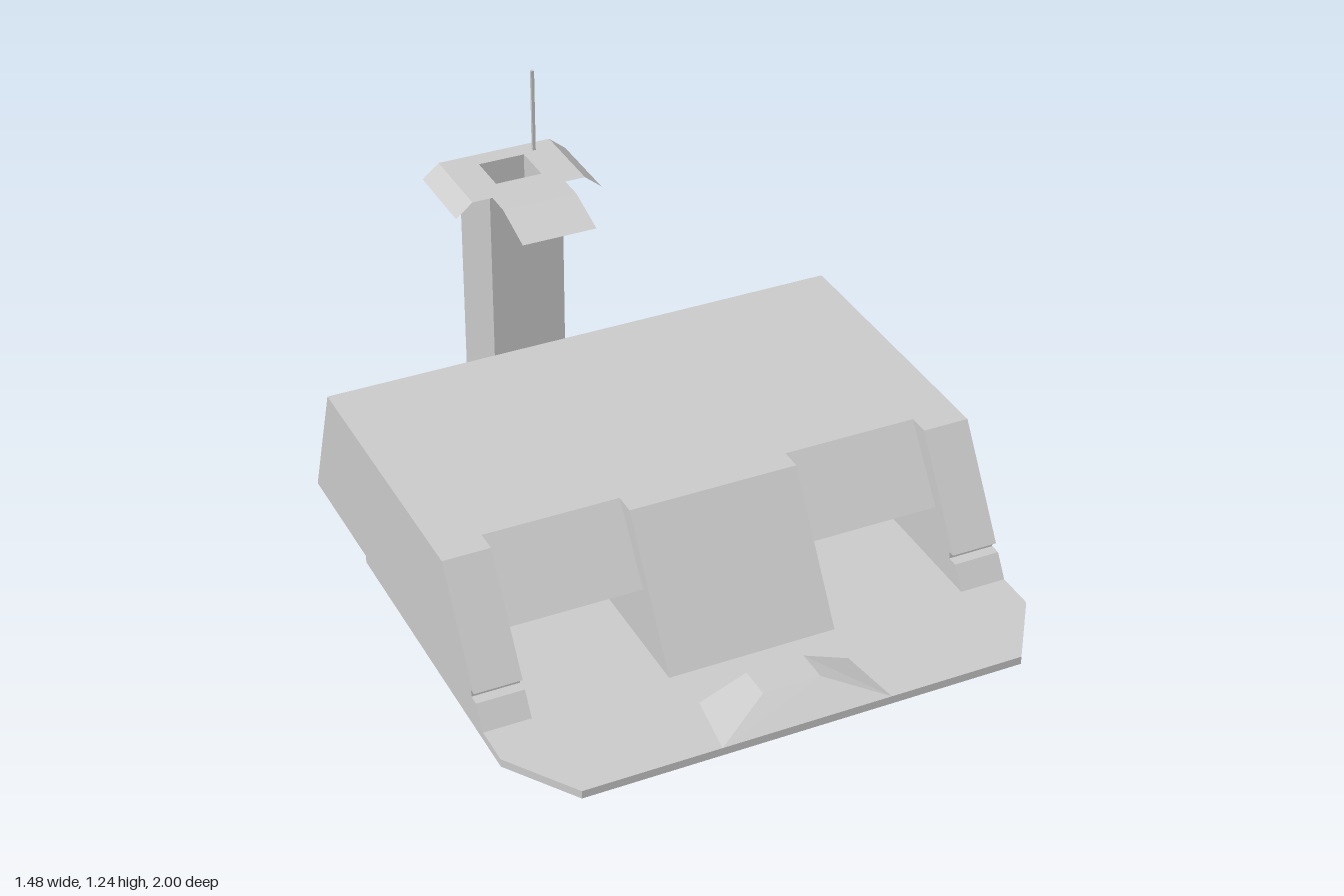
import * as THREE from 'three';
import { ConvexGeometry } from 'three/addons/geometries/ConvexGeometry.js';

const solid = new THREE.MeshStandardMaterial({ color: 0xcccccc, flatShading: true });
const sheet = new THREE.MeshStandardMaterial({ color: 0xcccccc, flatShading: true, side: THREE.DoubleSide });

const vectors = (pts) => pts.map(([a, b]) => new THREE.Vector2(a, b));
const rect = (x0, x1, z0, z1) => [[x0, z0], [x1, z0], [x1, z1], [x0, z1]];

// plan outline of [x, z] points with optional holes
function outline(pts, holes = []) {
  const shape = new THREE.Shape(vectors(pts));
  shape.holes = holes.map((h) => new THREE.Path(vectors(h)));
  return shape;
}

export function createModel() {
  const model = new THREE.Group();
  const add = (name, geo, mat = solid) => {
    const mesh = new THREE.Mesh(geo, mat);
    mesh.name = name;
    model.add(mesh);
  };

  // side profile of [z, y] points, swept from x0 to x1
  const across = (name, pts, x0, x1) => {
    const shape = new THREE.Shape(vectors(pts.map(([z, y]) => [-z, y])));
    const geo = new THREE.ExtrudeGeometry(shape, { depth: x1 - x0, bevelEnabled: false });
    add(name, geo.rotateY(Math.PI / 2).translate(x0, 0, 0));
  };
  // plan outline raised from y0 to y1
  const plan = (name, pts, y0, y1, holes) => {
    const geo = new THREE.ExtrudeGeometry(outline(pts, holes), { depth: y1 - y0, bevelEnabled: false });
    add(name, geo.rotateX(Math.PI / 2).translate(0, y1, 0));
  };
  // thin flat sheet at height y
  const flat = (name, pts, y, holes) => {
    const geo = new THREE.ShapeGeometry(outline(pts, holes));
    add(name, geo.rotateX(Math.PI / 2).translate(0, y, 0), sheet);
  };
  const box = (name, x0, x1, y0, y1, z0, z1) => {
    const geo = new THREE.BoxGeometry(x1 - x0, y1 - y0, z1 - z0);
    add(name, geo.translate((x0 + x1) / 2, (y0 + y1) / 2, (z0 + z1) / 2));
  };
  // thin four-cornered panel
  const panel = (name, a, b, c, d) => {
    const geo = new THREE.BufferGeometry();
    geo.setAttribute('position', new THREE.Float32BufferAttribute([a, b, c, a, c, d].flat(), 3));
    geo.computeVertexNormals();
    add(name, geo, sheet);
  };

  // floor plate with clipped front corners
  plan('floorPlate', [[-0.74, -0.11], [0.74, -0.11], [0.74, 0.81], [0.61, 1], [-0.61, 1], [-0.74, 0.81]], 0.335, 0.358);

  // hull centre and raised nose
  const rear = [[-0.345, 0.722], [-0.485, 0.355]];
  across('hullCentre', [[0.7, 0.357], [0.465, 0.722], ...rear], -0.235, 0.235);
  const noseHalf = [[0.235, 0.358, 1], [0.21, 0.358, 0.82], [0.08, 0.41, 0.91], [0.08, 0.41, 0.82]];
  add('nose', new ConvexGeometry([-1, 1].flatMap((s) => noseHalf.map(([x, y, z]) => new THREE.Vector3(s * x, y, z)))));

  // lower body with four small through holes, strut and keel
  const pinHoles = [-0.64, -0.09].flatMap((z) => [-0.125, 0.125].map((x) => rect(x - 0.018, x + 0.018, z - 0.02, z + 0.02)));
  plan('lowerBody', rect(-0.27, 0.27, -0.77, -0.03), 0.06, 0.178, pinHoles);
  box('bodyNeck', -0.065, 0.065, 0.06, 0.178, -0.03, 0.04);
  box('strut', -0.065, 0.065, 0.06, 0.335, 0.04, 0.17);
  across('keel', [[-0.11, 0.06], [-0.31, 0.004], [-0.42, 0], [-0.62, 0.06]], -0.1, 0.1);

  // thin frame around the lower body
  flat('lowerFrame', rect(-0.36, 0.36, -0.96, 0.08), 0.06, [[
    [-0.29, -0.8], [0.29, -0.8], [0.29, -0.47], [0.345, -0.47], [0.345, -0.26], [0.29, -0.26],
    [0.29, 0], [-0.29, 0], [-0.29, -0.26], [-0.345, -0.26], [-0.345, -0.47], [-0.29, -0.47],
  ]]);

  // paired parts
  for (const s of [-1, 1]) {
    const span = (a, b) => (s > 0 ? [a, b] : [-b, -a]);
    across('hullBay', [[0.3, 0.357], [0.545, 0.53], [0.405, 0.722], ...rear], ...span(0.235, 0.61));
    across('hullPillar', [
      [0.7, 0.357], [0.66, 0.42], [0.63, 0.42], [0.63, 0.44], [0.647, 0.44], [0.465, 0.722], ...rear,
    ], ...span(0.61, 0.74));
    box('rearFitting', ...span(0.175, 0.2), 0.655, 0.67, -0.375, -0.36);
    plan('sideBox', [[s * 0.27, -0.45], [s * 0.335, -0.415], [s * 0.335, -0.31], [s * 0.27, -0.28]], 0.065, 0.14);
    box('rearRail', ...span(0.287, 0.353), 0.178, 0.217, -0.77, -0.44);
    box('frontRail', ...span(0.287, 0.353), 0.178, 0.217, -0.38, 0.02);
    // canopy side flap
    panel('canopySideFlap', [s * 0.17, 0.993, -0.95], [s * 0.17, 0.993, -0.7], [s * 0.22, 0.952, -0.7], [s * 0.22, 0.952, -0.95]);
  }

  // tower with an open shaft at the top
  box('towerFoot', -0.11, 0.11, 0.06, 0.22, -0.945, -0.77);
  box('tower', -0.11, 0.11, 0.22, 0.87, -0.945, -0.72);
  const shaft = rect(-0.07, 0.07, -0.9, -0.77);
  plan('towerHead', rect(-0.11, 0.11, -0.945, -0.72), 0.87, 0.99, [shaft]);

  // canopy roof with front and back flaps
  flat('canopyTop', [
    [-0.17, -0.95], [0.17, -0.95], [0.17, -0.7], [0.11, -0.7],
    [0.11, -0.625], [-0.11, -0.625], [-0.11, -0.7], [-0.17, -0.7],
  ], 0.993, [shaft]);
  for (const [name, z0, z1] of [['canopyFrontFlap', -0.625, -0.49], ['canopyBackFlap', -0.95, -1]]) {
    panel(name, [-0.11, 0.993, z0], [0.11, 0.993, z0], [0.11, 0.952, z1], [-0.11, 0.952, z1]);
  }

  // antenna
  box('antenna', 0.1, 0.109, 0.99, 1.243, -0.914, -0.905);

  return model;
}
